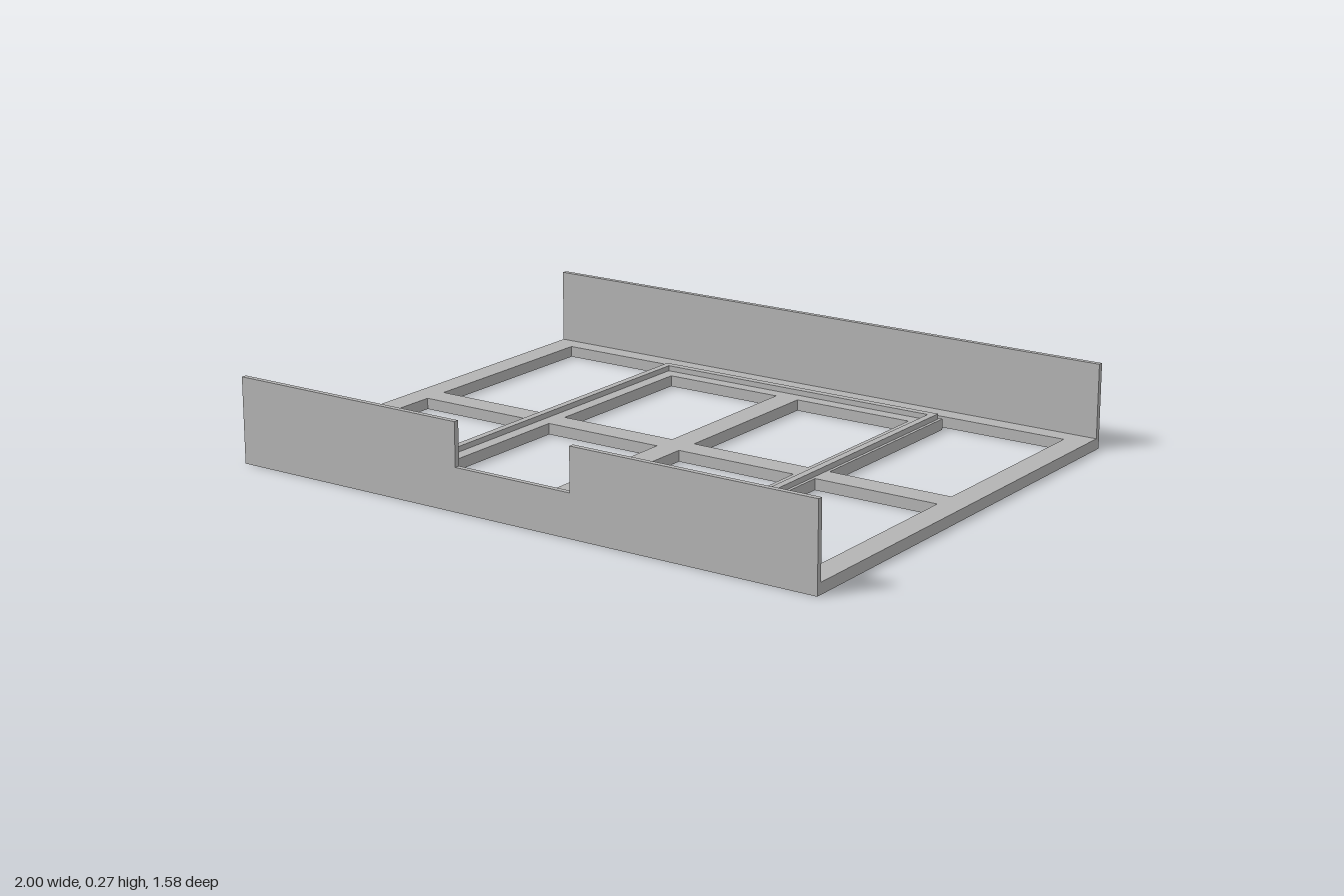
import * as THREE from 'three';

const BASE_H = 0.035, PANEL_H = 0.267, HALF_Z = 0.79, PANEL_T = 0.017;

function polygon(points, Type = THREE.Shape) {
  return new Type(points.map(([x, y]) => new THREE.Vector2(x, y)));
}

function rectangle(halfX, halfY, Type = THREE.Shape) {
  return polygon([[-halfX, -halfY], [halfX, -halfY], [halfX, halfY], [-halfX, halfY]], Type);
}

function extrude(shape, depth) {
  return new THREE.ExtrudeGeometry(shape, { depth, bevelEnabled: false });
}

export function createModel() {
  const model = new THREE.Group();
  model.name = 'trayFrame';
  const grey = new THREE.MeshStandardMaterial({ color: 0xb4b4b4 });
  grey.name = 'grey';

  const add = (name, geometry) => {
    const mesh = new THREE.Mesh(geometry, grey);
    mesh.name = name;
    model.add(mesh);
    return mesh;
  };

  // Flat base: outer frame, inner frame and cross bars, pierced in each quadrant
  const base = rectangle(1, HALF_Z - PANEL_T);
  const window = [[0.04, 0.04], [0.443, 0.04], [0.443, 0.61], [0.04, 0.61]];
  const corner = [[0.04, 0.69], [0.517, 0.69], [0.517, 0.04],
    [0.922, 0.04], [0.922, 0.713], [0.04, 0.713]];
  for (const sx of [-1, 1]) {
    for (const sz of [-1, 1]) {
      for (const outline of [window, corner]) {
        base.holes.push(polygon(outline.map(([x, z]) => [x * sx, z * sz]), THREE.Path));
      }
    }
  }
  add('baseFrame', extrude(base, BASE_H).rotateX(-Math.PI / 2).translate(0, 0, 0));

  // Raised rim on the inner frame
  const rim = rectangle(0.507, 0.68);
  rim.holes.push(rectangle(0.484, 0.655, THREE.Path));
  add('innerRim', extrude(rim, 0.017).rotateX(-Math.PI / 2).translate(0, BASE_H, 0));

  // Front wall with a notch in its top edge
  const front = polygon([[-1, 0], [1, 0], [1, PANEL_H], [0.2, PANEL_H], [0.2, 0.133],
    [-0.2, 0.133], [-0.2, PANEL_H], [-1, PANEL_H]]);
  add('frontWall', extrude(front, PANEL_T).translate(0, 0, HALF_Z - PANEL_T));

  // Plain back wall
  add('backWall', new THREE.BoxGeometry(2, PANEL_H, PANEL_T)
    .translate(0, PANEL_H / 2, -HALF_Z + PANEL_T / 2));

  return model;
}
